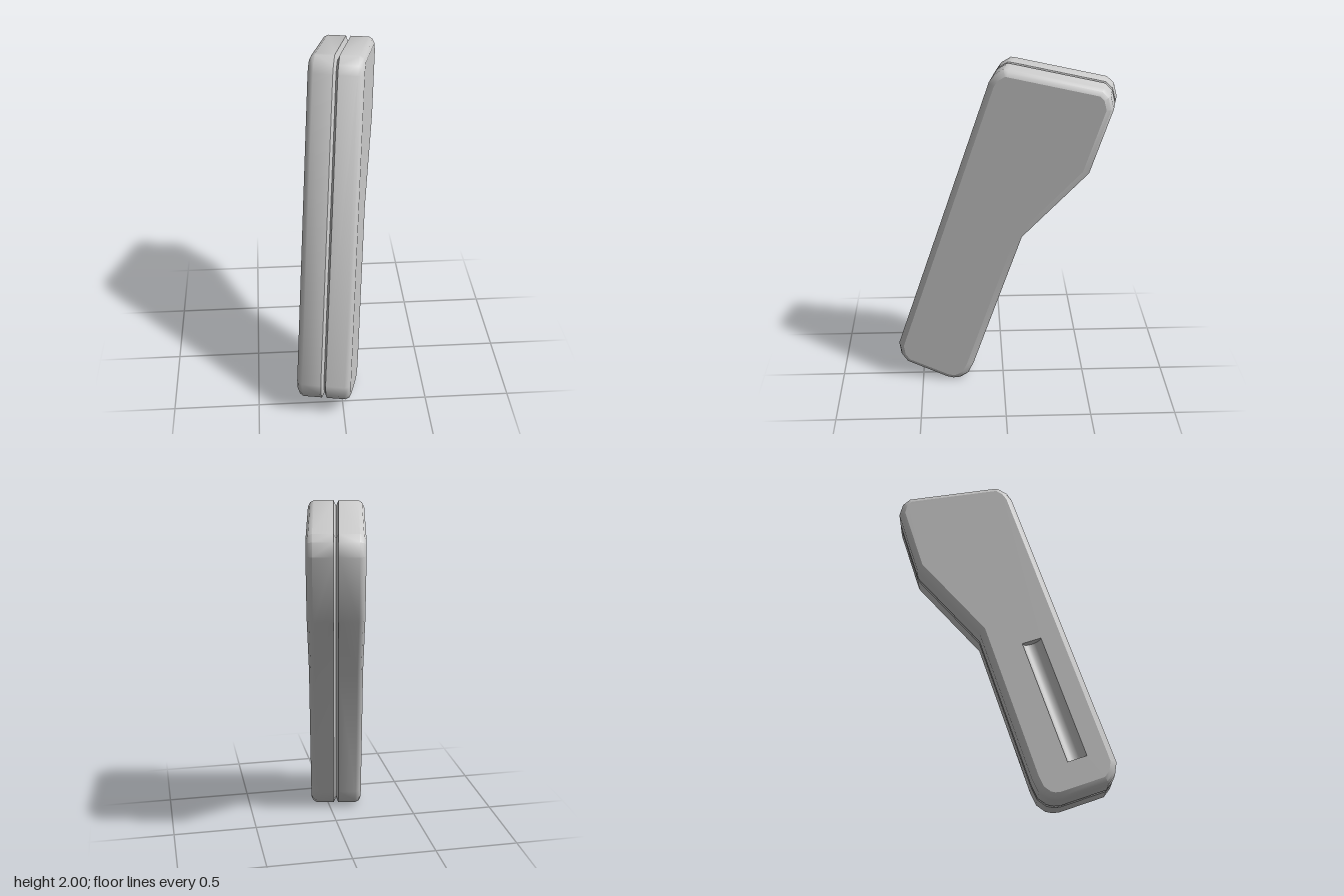
import * as THREE from 'three';
import { mergeGeometries, toCreasedNormals } from 'three/addons/utils/BufferGeometryUtils.js';

// Side outline as [depth, height], counter-clockwise
const OUTLINE = [
  [0.33, 0.005], [0.585, 0.095], [0.622, 0.145], [0.634, 0.22],
  [0.06, 1.92], [0.03, 1.965], [-0.025, 2], [-0.05, 1.998],
  [-0.57, 1.912], [-0.61, 1.875], [-0.629, 1.8],
  [-0.507, 1.42], [-0.13, 1.0],
  [0.165, 0.12], [0.2, 0.045], [0.25, 0.008], [0.29, 0],
].map(([u, y]) => new THREE.Vector2(u, y));

// [distance from seam, inset]: seam groove, side wall, rounded outer edge
const PROFILE = [[0, 0.032], [0.014, 0], [0.124, 0], [0.146, 0.012], [0.158, 0.036]];

// Slot on the right face
const SLOT = { u: 0.293, y: 0.585, length: 0.753, radius: 0.057, depth: 0.05, tilt: 0.328 };

// Mitred inward offset of the outline
function inset(points, d) {
  const n = points.length;
  return points.map((p, i) => {
    const a = p.clone().sub(points[(i + n - 1) % n]).normalize();
    const b = points[(i + 1) % n].clone().sub(p).normalize();
    const na = new THREE.Vector2(-a.y, a.x);
    const nb = new THREE.Vector2(-b.y, b.x);
    const m = na.clone().add(nb).normalize();
    return p.clone().addScaledVector(m, d / m.dot(na));
  });
}

// Rectangular slot opening
function slotHole() {
  const r = SLOT.radius, h = SLOT.length / 2;
  const corners = [[-r, -h], [-r, h], [r, h], [r, -h]].map(([x, y]) =>
    new THREE.Vector2(x, y).rotateAround(new THREE.Vector2(), SLOT.tilt)
      .add(new THREE.Vector2(SLOT.u, SLOT.y)));
  return new THREE.Path(corners);
}

// One half shell: lofted rim plus flat outer face; side is +1 or -1
function halfShell(side) {
  const rings = PROFILE.map(([, d]) => inset(OUTLINE, d));
  const n = OUTLINE.length, positions = [], index = [];
  rings.forEach((ring, k) => ring.forEach(p => positions.push(side * PROFILE[k][0], p.y, p.x)));
  for (let k = 0; k < rings.length - 1; k++) {
    for (let i = 0; i < n; i++) {
      const a = k * n + i, b = k * n + (i + 1) % n, c = b + n, d = a + n;
      if (side < 0) index.push(a, b, c, a, c, d);
      else index.push(a, c, b, a, d, c);
    }
  }
  const raw = new THREE.BufferGeometry();
  raw.setAttribute('position', new THREE.Float32BufferAttribute(positions, 3));
  raw.setIndex(index);
  const rim = toCreasedNormals(raw, 0.7);

  const shape = new THREE.Shape(rings[rings.length - 1].map(p => new THREE.Vector2(-side * p.x, p.y)));
  if (side < 0) shape.holes.push(slotHole());
  const face = new THREE.ShapeGeometry(shape).toNonIndexed();
  face.deleteAttribute('uv');
  face.rotateY(side * Math.PI / 2);
  face.translate(side * PROFILE[PROFILE.length - 1][0], 0, 0);
  return mergeGeometries([rim, face]);
}

export function createModel() {
  const model = new THREE.Group();
  model.name = 'handheldCase';
  const grey = new THREE.MeshStandardMaterial({ color: 0xcccccc });
  const greyInside = new THREE.MeshStandardMaterial({ color: 0xcccccc, side: THREE.BackSide });

  for (const [side, name] of [[1, 'leftShell'], [-1, 'rightShell']]) {
    const shell = new THREE.Mesh(halfShell(side), grey);
    shell.name = name;
    model.add(shell);
  }

  // Half-round recess behind the slot opening, seen from inside
  const groove = new THREE.CylinderGeometry(SLOT.radius, SLOT.radius, SLOT.length, 16, 1, false, 0, Math.PI);
  groove.scale(SLOT.depth / SLOT.radius, 1, 1);
  groove.rotateX(-0 + SLOT.tilt * -1);
  const recess = new THREE.Mesh(openFront(groove), greyInside);
  recess.name = 'slotRecess';
  recess.position.set(-PROFILE[PROFILE.length - 1][0], SLOT.y, SLOT.u);
  model.add(recess);

  // The whole case stands turned slightly about the vertical
  model.rotation.y = -0.194;
  return model;
}

// Keeps the half-round wall and its two end caps; the flat front stays open
function openFront(geometry) {
  geometry.deleteAttribute('uv');
  return geometry;
}
